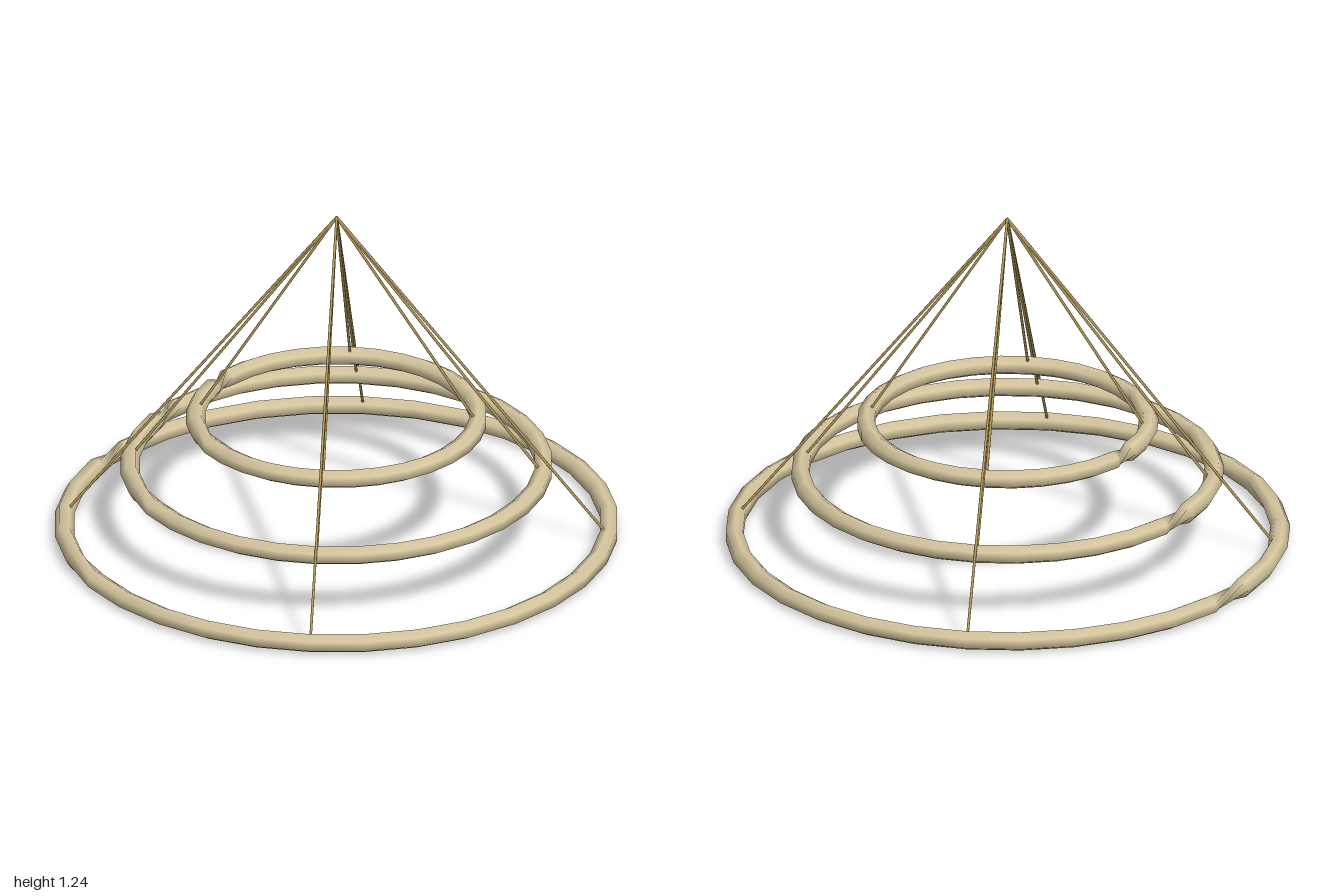
import * as THREE from 'three';

const ringMaterial = new THREE.MeshStandardMaterial({ color: 0xd8c8a0 });
const wireMaterial = new THREE.MeshStandardMaterial({ color: 0xb59a5a });

const TUBE = 0.035, SEGMENTS = 32, SIDES = 6;
const APEX = new THREE.Vector3(0, 1.24, 0);

// Hexagonal tube ring; the section is turned a quarter along the -x arc
function ringGeometry(radius) {
  const positions = [], indices = [];
  for (let i = 0; i < SEGMENTS; i++) {
    const a = (i / SEGMENTS) * Math.PI * 2;
    const twist = i >= 14 && i <= 18 ? Math.PI / 2 : 0;
    for (let j = 0; j < SIDES; j++) {
      const b = (j / SIDES) * Math.PI * 2 + Math.PI / 2 + twist;
      const r = radius + TUBE * Math.cos(b);
      positions.push(r * Math.cos(a), TUBE * Math.sin(b), r * Math.sin(a));
      const i2 = ((i + 1) % SEGMENTS) * SIDES, j2 = (j + 1) % SIDES;
      const p = i * SIDES + j, q = i * SIDES + j2, s = i2 + j, t = i2 + j2;
      indices.push(p, q, s, q, t, s);
    }
  }
  const geometry = new THREE.BufferGeometry();
  geometry.setAttribute('position', new THREE.Float32BufferAttribute(positions, 3));
  geometry.setIndex(indices);
  geometry.computeVertexNormals();
  return geometry;
}

// Thin straight wire between two points
function wire(from, to) {
  const dir = to.clone().sub(from);
  const mesh = new THREE.Mesh(new THREE.CylinderGeometry(0.005, 0.005, dir.length(), 6), wireMaterial);
  mesh.position.copy(from).add(to).multiplyScalar(0.5);
  mesh.quaternion.setFromUnitVectors(new THREE.Vector3(0, 1, 0), dir.normalize());
  mesh.name = 'suspensionWire';
  return mesh;
}

export function createModel() {
  const group = new THREE.Group();
  group.name = 'tieredRingPendant';

  // Three rings, each hung from the apex by four wires
  const tiers = [
    { name: 'lowerRing', radius: 0.965, y: 0.035 },
    { name: 'middleRing', radius: 0.732, y: 0.267 },
    { name: 'upperRing', radius: 0.5, y: 0.455 },
  ];
  for (const { name, radius, y } of tiers) {
    const ring = new THREE.Mesh(ringGeometry(radius), ringMaterial);
    ring.name = name;
    ring.position.y = y;
    group.add(ring);
    for (let k = 0; k < 4; k++) {
      const a = (k * Math.PI) / 2;
      group.add(wire(new THREE.Vector3(radius * Math.cos(a), y, radius * Math.sin(a)), APEX));
    }
  }
  return group;
}
